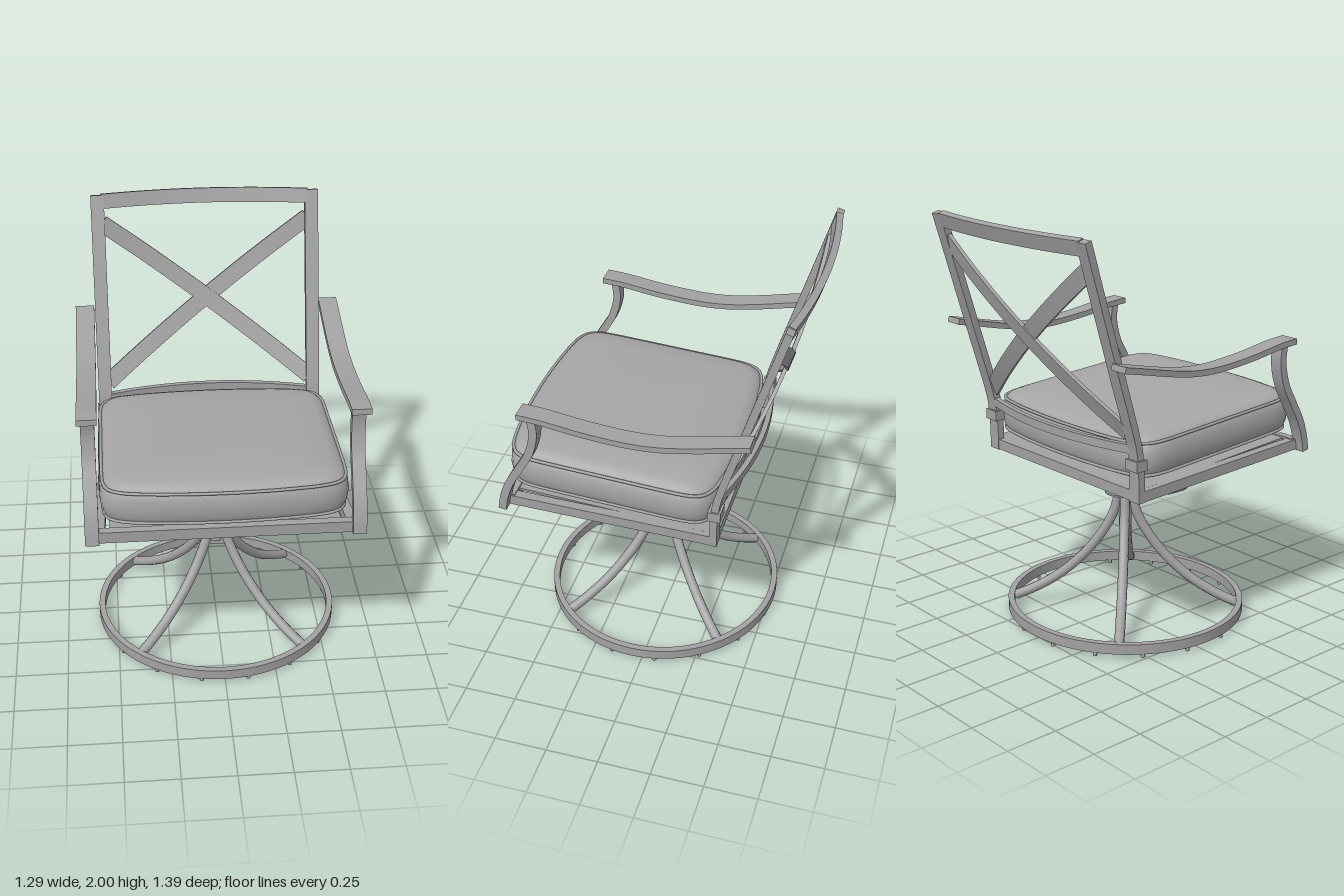
import * as THREE from 'three';
import { toCreasedNormals } from 'three/addons/utils/BufferGeometryUtils.js';

const V = (x, y, z) => new THREE.Vector3(x, y, z);

export function createModel() {
  const chair = new THREE.Group();
  chair.name = 'swivelPatioChair';
  const metal = new THREE.MeshStandardMaterial({ color: 0xa2a2a2 });
  metal.name = 'grey metal';
  const fabric = new THREE.MeshStandardMaterial({ color: 0xa6a6a6 });
  fabric.name = 'grey fabric';

  function add(name, geometry, material = metal, x = 0, y = 0, z = 0) {
    const mesh = new THREE.Mesh(geometry, material);
    mesh.name = name;
    mesh.position.set(x, y, z);
    chair.add(mesh);
    return mesh;
  }
  const box = (name, w, h, d, x, y, z) => add(name, new THREE.BoxGeometry(w, h, d), metal, x, y, z);
  const cyl = (name, r1, r2, h, x, y, z, n = 24) =>
    add(name, new THREE.CylinderGeometry(r1, r2, h, n), metal, x, y, z);

  // Rectangular bar swept along a path; sizeA lies along the hint direction, sizeB across it
  function bar(name, points, hint, sizeA, sizeB, steps = 24) {
    const curve = new THREE.CatmullRomCurve3(points);
    const pos = [], index = [];
    for (let i = 0; i <= steps; i++) {
      const p = curve.getPoint(i / steps), t = curve.getTangent(i / steps);
      const b = t.clone().cross(hint).normalize();
      const a = b.clone().cross(t).normalize();
      for (const [u, v] of [[-1, -1], [1, -1], [1, 1], [-1, 1]]) {
        const q = p.clone().addScaledVector(a, u * sizeA / 2).addScaledVector(b, v * sizeB / 2);
        pos.push(q.x, q.y, q.z);
      }
      if (i === steps) continue;
      for (let j = 0; j < 4; j++) {
        const k = (j + 1) % 4, m = i * 4;
        index.push(m + j, m + k, m + 4 + k, m + j, m + 4 + k, m + 4 + j);
      }
    }
    const e = steps * 4;
    index.push(0, 2, 1, 0, 3, 2, e, e + 1, e + 2, e, e + 2, e + 3);
    const g = new THREE.BufferGeometry();
    g.setAttribute('position', new THREE.Float32BufferAttribute(pos, 3));
    g.setIndex(index);
    return add(name, toCreasedNormals(g, 0.6), metal);
  }
  const X = V(1, 0, 0), Y = V(0, 1, 0), Z = V(0, 0, 1);

  // Base ring with glides
  const hubZ = 0.047, squash = 0.975;
  const section = [[0.592, 0.02], [0.592, 0.07], [0.562, 0.07], [0.562, 0.02], [0.592, 0.02]];
  const ring = toCreasedNormals(
    new THREE.LatheGeometry(section.map(([x, y]) => new THREE.Vector2(x, y)), 72), 0.6);
  add('baseRing', ring, metal, 0, 0, hubZ).scale.z = squash;
  for (let i = 0; i < 16; i++) {
    const a = (i + 0.5) * Math.PI / 8;
    cyl('glide', 0.01, 0.01, 0.022, 0.577 * Math.cos(a), 0.011, hubZ + 0.577 * squash * Math.sin(a), 10);
  }

  // Four curved pedestal legs
  const legProfile = [[0.03, 0.62], [0.05, 0.53], [0.09, 0.44], [0.19, 0.3], [0.33, 0.17], [0.46, 0.09], [0.56, 0.045]];
  for (let i = 0; i < 4; i++) {
    const a = (i + 0.5) * Math.PI / 2;
    const path = legProfile.map(([r, y]) => V(r * Math.cos(a), y, hubZ + r * squash * Math.sin(a)));
    add('pedestalLeg', new THREE.TubeGeometry(new THREE.CatmullRomCurve3(path), 28, 0.024, 10));
  }

  // Swivel hub
  cyl('hubSleeve', 0.032, 0.032, 0.18, 0, 0.53, hubZ);
  cyl('hubDisc', 0.1, 0.1, 0.008, 0, 0.617, hubZ, 36);
  cyl('hubNeck', 0.045, 0.05, 0.06, 0, 0.64, hubZ);
  cyl('hubCap', 0.06, 0.06, 0.025, 0, 0.67, hubZ);
  box('swivelPlate', 0.4, 0.016, 0.25, 0, 0.69, 0.105);
  for (const s of [-1, 1]) {
    box('clampPlate', 0.1, 0.012, 0.09, s * 0.15, 0.75, 0.01);
    for (const x of [0.125, 0.175]) {
      for (const z of [-0.02, 0.04]) cyl('clampBolt', 0.009, 0.009, 0.11, s * x, 0.71, z, 8);
      cyl('plateBolt', 0.012, 0.012, 0.055, s * x, 0.69, 0.2, 8);
    }
  }

  // Bent spring bar under the seat
  const half = [[0.45, 0.85], [0.44, 0.80], [0.415, 0.752], [0.36, 0.73], [0.28, 0.728]];
  const bent = [...half.map(([x, y]) => V(-x, y, 0.01)), ...half.reverse().map(([x, y]) => V(x, y, 0.01))];
  bar('springBar', bent, Z, 0.08, 0.034, 60);

  // Seat frame, cross bars and support panel
  const railY = z => 0.84 + 0.056 * z;
  bar('frontRail', [V(-0.58, 0.878, 0.62), V(0.58, 0.878, 0.62)], Y, 0.055, 0.04, 1);
  bar('rearRail', [V(-0.5, 0.822, -0.335), V(0.5, 0.822, -0.335)], Y, 0.05, 0.04, 1);
  for (const z of [0.01, -0.2]) {
    bar('crossBar', [V(-0.53, railY(z), z), V(0.53, railY(z), z)], Y, 0.035, 0.04, 1);
  }
  bar('seatPanel', [V(0, 0.893, 0.61), V(0, 0.84, -0.33)], X, 1.04, 0.012, 1);

  // Back geometry: leaning plane that bows rearward in the middle
  const backZ = y => -0.37 - 0.305 * (y - 1.11);
  const bow = (x, depth) => depth * (1 - (x / 0.5) ** 2);
  const across = f => Array.from({ length: 11 }, (_, i) => f(-0.5 + i / 10));

  for (const s of [-1, 1]) {
    bar('sideRail', [V(s * 0.565, 0.877, 0.63), V(s * 0.525, 0.82, -0.34)], Y, 0.05, 0.045, 1);
    bar('backPost', [[0.795, -0.34], [0.93, -0.342], [1.04, -0.353], [1.12, backZ(1.12)],
      [1.4, backZ(1.4)], [1.7, backZ(1.7)], [1.99, backZ(1.99)]].map(([y, z]) => V(s * 0.518, y, z)),
    X, 0.064, 0.035, 36);
    box('postCollar', 0.078, 0.05, 0.06, s * 0.518, 0.97, -0.345);
    // Arm and its curved front support
    bar('armrest', [[0.535, 1.408], [0.44, 1.402], [0.24, 1.375], [0.02, 1.36], [-0.12, 1.368],
      [-0.27, 1.395], [-0.4, 1.425], [-0.52, 1.452]].map(([z, y]) => V(s * 0.6, y, z)), X, 0.09, 0.028, 40);
    bar('armSupport', [[1.4, 0.475], [1.31, 0.468], [1.2, 0.495], [1.1, 0.55], [1.0, 0.605],
      [0.92, 0.632], [0.85, 0.645]].map(([y, z]) => V(s * 0.598, y, z)), X, 0.062, 0.038, 36);
    // Curved diagonal brace
    bar('crossBrace', across(x => {
      const y = 1.487 + 0.75 * x;
      return V(s * x, y, backZ(y) - bow(x, 0.055) - s * 0.003);
    }), V(0, 0.29, 0.957), 0.018, 0.08);
  }
  bar('topRail', across(x => V(x, 1.962, backZ(1.962) - bow(x, 0.045))), V(0, 0.957, -0.29), 0.07, 0.032);
  bar('lowerBackRail', across(x => V(x, 1.04, -0.355 - bow(x, 0.078))), Y, 0.04, 0.025);

  // Padded cushion lofted from bowed rounded-square outlines
  const cushionPoint = (angle, s, y) => {
    const u = Math.sin(angle), w = Math.cos(angle), p = 11;
    const r = s / (Math.abs(u) ** p + Math.abs(w) ** p) ** (1 / p);
    const px = u * r, pz = w * r;
    const z = 0.16 + 0.475 * pz + 0.048 * pz * (1 - px * px);
    return V(0.553 * px, y + 0.06 * (z - 0.16), z);
  };
  const layers = [[0, 0.903], [0.85, 0.903], [0.95, 0.912], [0.985, 0.93], [1.005, 0.96], [1.015, 1.0],
    [1.008, 1.045], [0.985, 1.078], [0.95, 1.098], [0.88, 1.113], [0.7, 1.123], [0.4, 1.127], [0, 1.128]];
  const n = 128, pos = [], index = [];
  layers.forEach(([s, y], j) => {
    for (let i = 0; i < n; i++) {
      pos.push(...cushionPoint(i / n * Math.PI * 2, s, y).toArray());
      if (j === layers.length - 1) continue;
      const a = j * n + i, b = j * n + (i + 1) % n;
      index.push(a, b, a + n, b, b + n, a + n);
    }
  });
  const pad = new THREE.BufferGeometry();
  pad.setAttribute('position', new THREE.Float32BufferAttribute(pos, 3));
  pad.setIndex(index);
  pad.computeVertexNormals();
  add('seatCushion', pad, fabric);

  // Piping along the cushion seams
  for (const [s, y] of [[0.988, 0.93], [0.988, 1.08]]) {
    const loop = Array.from({ length: n }, (_, i) => cushionPoint(i / n * Math.PI * 2, s, y));
    add('cushionPiping', new THREE.TubeGeometry(new THREE.CatmullRomCurve3(loop, true), 160, 0.008, 6, true), fabric);
  }
  return chair;
}
